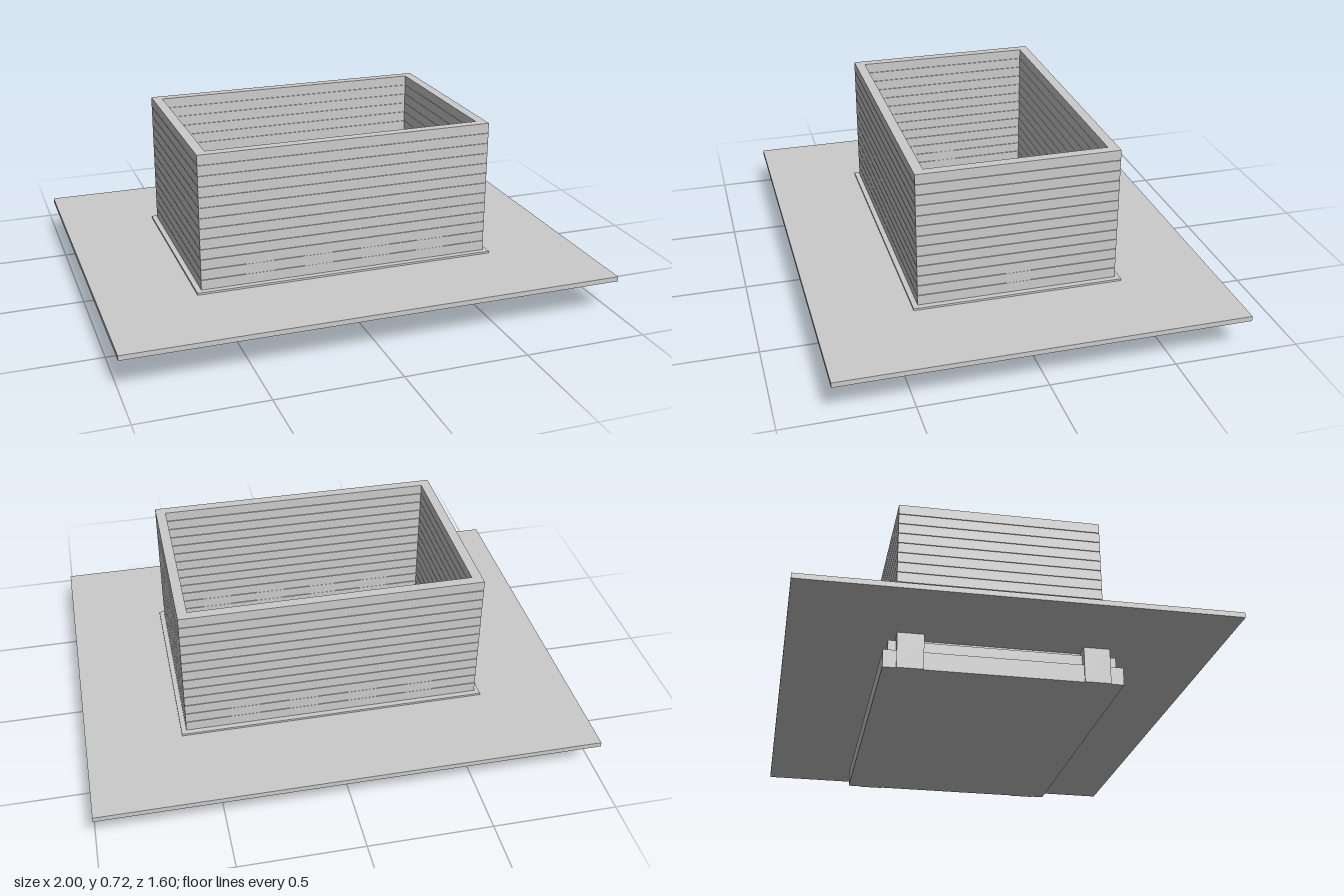
import * as THREE from 'three';

const material = new THREE.MeshStandardMaterial({ color: 0xcccccc, flatShading: true });

export function createModel() {
  const model = new THREE.Group();

  // Box given by its size, bottom height and centre
  function box(name, w, d, y0, y1, x = 0, z = 0, parent = model) {
    const mesh = new THREE.Mesh(new THREE.BoxGeometry(w, y1 - y0, d), material);
    mesh.position.set(x, (y0 + y1) / 2, z);
    mesh.name = name;
    parent.add(mesh);
  }

  // Rectangular ring standing from y0 to y1
  function ring(name, w, d, t, y0, y1, parent = model) {
    const rect = (Type, a, b) => new Type([
      new THREE.Vector2(-a, -b), new THREE.Vector2(a, -b),
      new THREE.Vector2(a, b), new THREE.Vector2(-a, b),
    ]);
    const shape = rect(THREE.Shape, w / 2, d / 2);
    shape.holes.push(rect(THREE.Path, w / 2 - t, d / 2 - t));
    const geometry = new THREE.ExtrudeGeometry(shape, { depth: y1 - y0, bevelEnabled: false });
    geometry.rotateX(-Math.PI / 2).translate(0, y0, 0);
    const mesh = new THREE.Mesh(geometry, material);
    mesh.name = name;
    parent.add(mesh);
  }

  // Stepped foundation with bearers under the deck
  box('foundationLower', 1.31, 0.9, 0, 0.07);
  box('foundationUpper', 1.26, 0.86, 0.07, 0.12);
  box('foundationCore', 1.2, 0.6, 0.12, 0.14);
  for (const side of [-1, 1]) box('bearer', 1.32, 0.1, 0, 0.14, 0, side * 0.35);

  // Wide flat deck and the low sill around the walls
  box('deck', 2, 1.6, 0.14, 0.16);
  ring('sill', 1.24, 0.84, 0.06, 0.16, 0.168);

  // Open-topped walls: stacked courses over a slightly recessed core
  const walls = new THREE.Group();
  walls.name = 'walls';
  model.add(walls);
  const courses = 13, height = 0.04, pitch = 0.0425, bottom = 0.17;
  for (let i = 0; i < courses; i++) {
    const y = bottom + i * pitch;
    ring('course', 1.2, 0.8, 0.04, y, y + height, walls);
  }
  ring('jointCore', 1.192, 0.792, 0.032, 0.16, 0.715, walls);

  // Vents set into the second course
  for (const side of [-1, 1]) {
    for (const x of [-0.36, -0.12, 0.12, 0.36]) {
      box('vent', 0.12, 0.038, 0.208, 0.255, x, side * 0.38, walls);
    }
    box('vent', 0.038, 0.1, 0.208, 0.255, side * 0.58, 0, walls);
  }

  return model;
}
